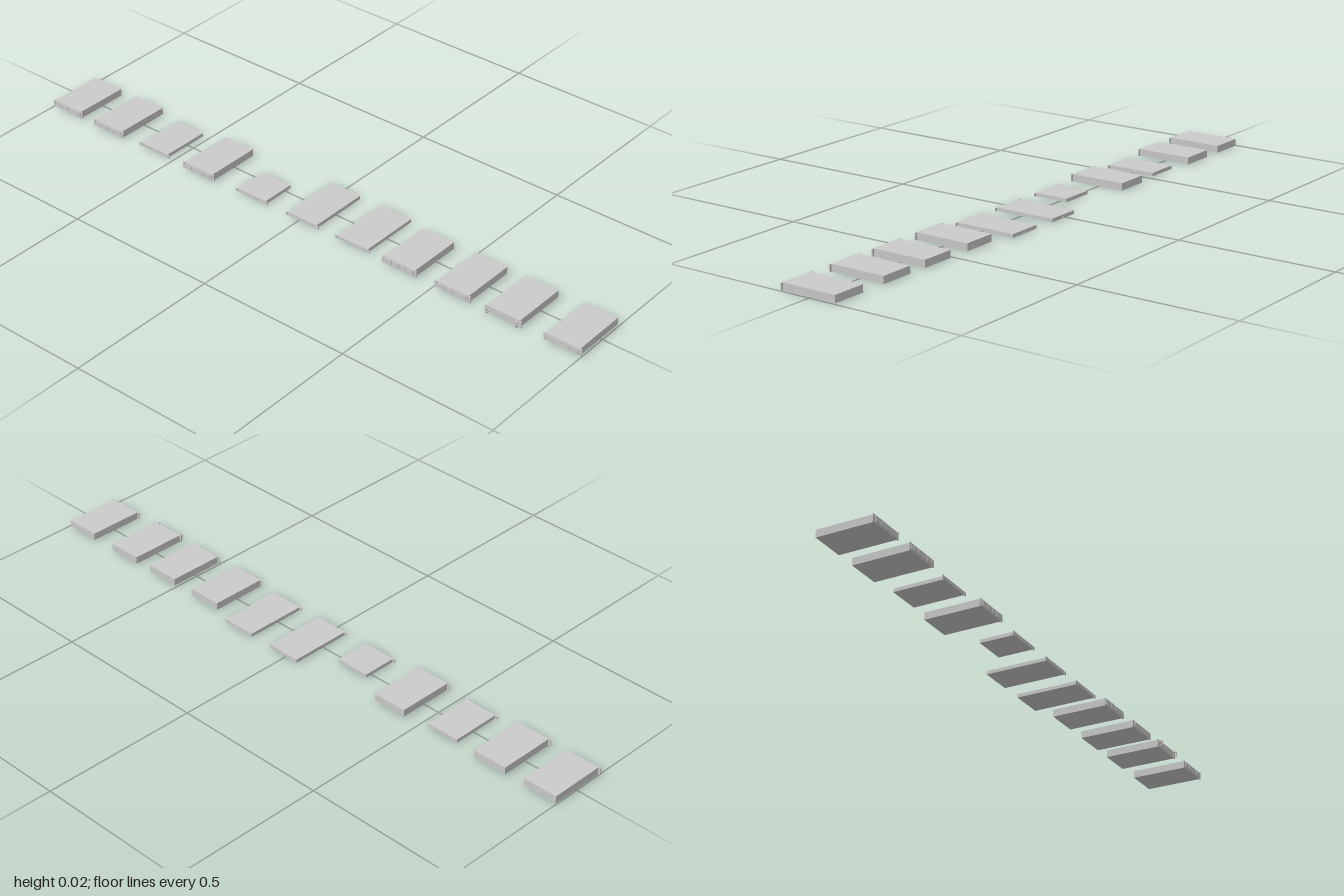
import * as THREE from 'three';

const material = new THREE.MeshStandardMaterial({ color: 0xcccccc, flatShading: true });

// Box given by its minimum and maximum corners
function block(parent, name, x0, x1, y0, y1, z0, z1) {
  const mesh = new THREE.Mesh(new THREE.BoxGeometry(x1 - x0, y1 - y0, z1 - z0), material);
  mesh.name = name;
  mesh.position.set((x0 + x1) / 2, (y0 + y1) / 2, (z0 + z1) / 2);
  parent.add(mesh);
}

const TALL = 0.023, LOW = 0.011;

// Each rack unit: centre x, chassis width, height, back z, front z, style of front
const UNITS = [
  [-0.940, 0.112, TALL, -0.083, 0.097, 'bezel'],
  [-0.762, 0.112, TALL, -0.084, 0.099, 'bezel'],
  [-0.577, 0.108, LOW, -0.070, 0.091, 'plain'],
  [-0.388, 0.112, TALL, -0.084, 0.099, 'bezel'],
  [-0.184, 0.110, LOW, -0.022, 0.091, 'plain'],
  [0.011, 0.110, LOW, -0.110, 0.091, 'tab'],
  [0.200, 0.112, LOW, -0.110, 0.091, 'tab'],
  [0.377, 0.112, TALL, -0.083, 0.098, 'bezel'],
  [0.565, 0.112, TALL, -0.083, 0.098, 'bezel'],
  [0.740, 0.112, TALL, -0.083, 0.100, 'handles'],
  [0.937, 0.112, TALL, -0.084, 0.098, 'bezel'],
];

function rackUnit([x, width, height, back, front, style]) {
  const unit = new THREE.Group();
  unit.name = 'rackUnit';
  unit.position.x = x;
  const half = width / 2;
  block(unit, 'chassis', -half, half, 0, height, back, front);

  // Mounting ears widen the front edge
  for (const side of [-1, 1]) {
    const a = side * (half - 0.001), b = side * 0.0625;
    block(unit, 'mountingEar', Math.min(a, b), Math.max(a, b), 0.0005, height - 0.0005, front - 0.002, front + 0.001);
  }

  // Shallow front panel with drive bays
  if (style === 'bezel') {
    block(unit, 'bezel', -half + 0.003, half - 0.003, 0.002, height - 0.002, front, front + 0.002);
    for (let i = 0; i < 4; i++) {
      const bx = -half + 0.008 + i * 0.025;
      block(unit, 'driveBay', bx, bx + 0.021, 0.004, height - 0.004, front + 0.002, front + 0.003);
    }
  }

  // Upright pull handles at both ends of the front
  if (style === 'handles') {
    for (const side of [-1, 1]) {
      const hx = side * 0.051;
      block(unit, 'handleGrip', hx - 0.002, hx + 0.002, 0.003, height - 0.003, 0.109, 0.112);
      for (const y of [0.003, height - 0.006])
        block(unit, 'handleArm', hx - 0.002, hx + 0.002, y, y + 0.003, front, 0.109);
    }
  }

  // Small cable tab low on the back
  if (style === 'tab') block(unit, 'rearTab', -0.006, 0.006, 0.001, 0.004, back - 0.002, back);
  return unit;
}

export function createModel() {
  const model = new THREE.Group();
  model.name = 'rackUnits';
  for (const spec of UNITS) model.add(rackUnit(spec));
  return model;
}
